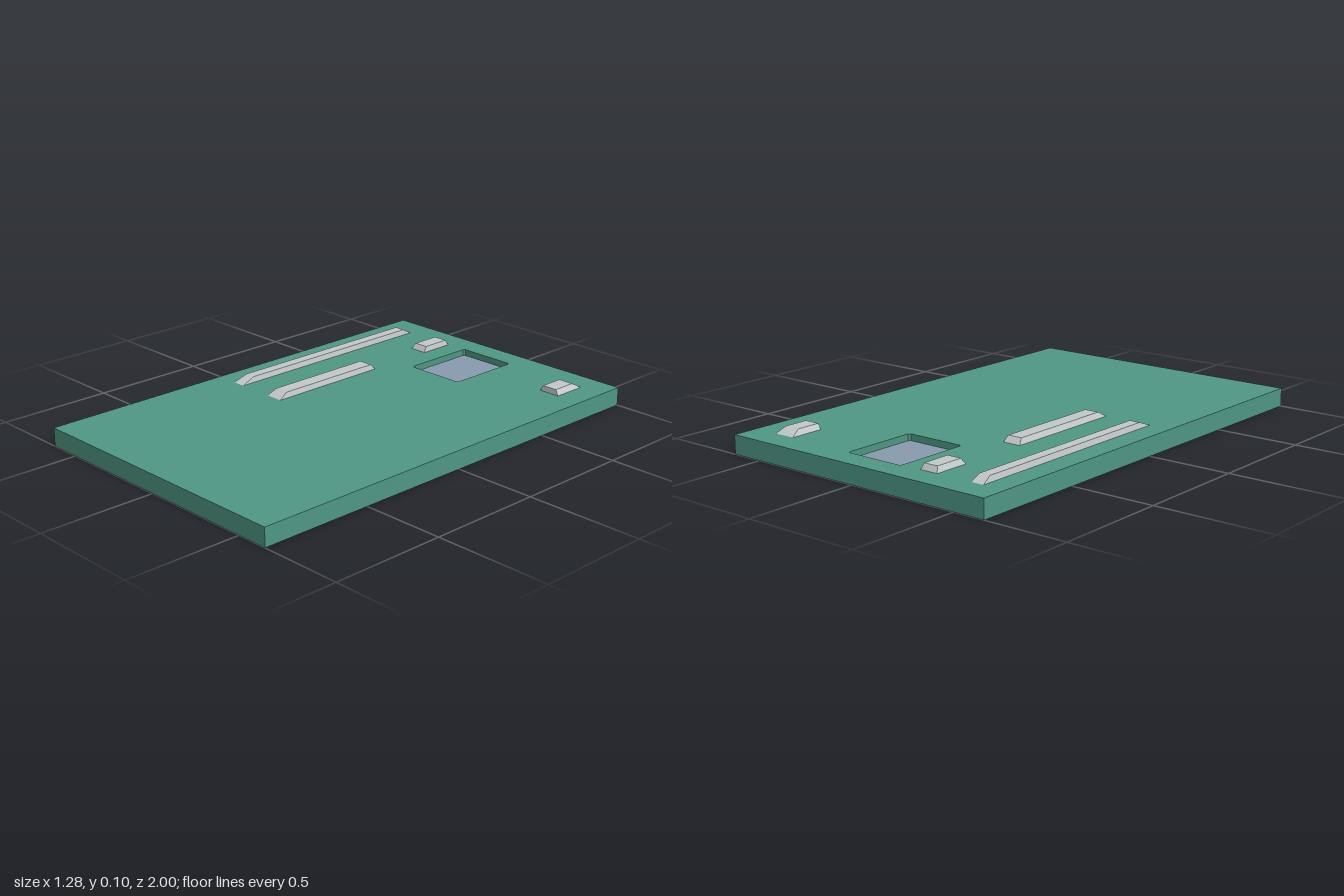
import * as THREE from 'three';

const TOP = 0.08, FLOOR = 0.05, PAD_TOP = 0.104;

const board = new THREE.MeshStandardMaterial({ color: 0x509884 });
board.name = 'boardGreen';
const metal = new THREE.MeshStandardMaterial({ color: 0xc4c9c9 });
metal.name = 'paleGrey';
const chip = new THREE.MeshStandardMaterial({ color: 0x8a9cb0 });
chip.name = 'chipBlueGrey';

function add(group, name, geometry, material) {
  const mesh = new THREE.Mesh(geometry, material);
  mesh.name = name;
  group.add(mesh);
  return mesh;
}

// Box whose upper corners are moved in to the given top rectangle
function bevelledBar([x0, x1, z0, z1], [tx0, tx1, tz0, tz1]) {
  const g = new THREE.BoxGeometry(1, 1, 1);
  const p = g.attributes.position;
  for (let i = 0; i < p.count; i++) {
    const up = p.getY(i) > 0, right = p.getX(i) > 0, front = p.getZ(i) > 0;
    p.setXYZ(i,
      up ? (right ? tx1 : tx0) : (right ? x1 : x0),
      up ? PAD_TOP : TOP - 0.002,
      up ? (front ? tz1 : tz0) : (front ? z1 : z0));
  }
  g.computeVertexNormals();
  return g;
}

export function createModel() {
  const model = new THREE.Group();
  model.name = 'circuitBoard';

  // Slab below the recess
  const base = add(model, 'boardBase', new THREE.BoxGeometry(1.28, FLOOR, 2), board);
  base.position.y = FLOOR / 2;

  // Upper layer with the recess cut through (shape y becomes -z)
  const outline = new THREE.Shape([[-0.64, -1], [0.64, -1], [0.64, 1], [-0.64, 1]]
    .map(([x, y]) => new THREE.Vector2(x, y)));
  const x0 = -0.15, x1 = 0.12, y0 = 0.557, y1 = 0.895, r = 0.008;
  const hole = new THREE.Path();
  hole.moveTo(x0 + r, y0);
  hole.lineTo(x0, y0 + r);
  hole.lineTo(x0, y1 - r);
  hole.lineTo(x0 + r, y1);
  hole.lineTo(x1 - r, y1);
  hole.lineTo(x1, y1 - r);
  hole.lineTo(x1, y0 + r);
  hole.lineTo(x1 - r, y0);
  hole.closePath();
  outline.holes.push(hole);
  const layer = new THREE.ExtrudeGeometry(outline, { depth: TOP - FLOOR, bevelEnabled: false });
  layer.rotateX(-Math.PI / 2);
  add(model, 'boardTop', layer, board).position.y = FLOOR;

  // Chip face on the recess floor
  const face = add(model, 'chipFace', new THREE.BoxGeometry(x1 - x0, 0.004, y1 - y0), chip);
  face.position.set((x0 + x1) / 2, FLOOR, -(y0 + y1) / 2);

  // Raised connectors: footprint and top rectangle as x0, x1, z0, z1
  const bars = {
    longSlot: [[-0.542, -0.483, -0.89, 0.145], [-0.536, -0.488, -0.845, 0.075]],
    shortSlot: [[-0.325, -0.243, -0.42, 0.145], [-0.314, -0.249, -0.395, 0.1]],
    smallConnector: [[-0.325, -0.243, -0.89, -0.73], [-0.314, -0.249, -0.875, -0.747]],
    sideConnector: [[0.43, 0.528, -0.89, -0.735], [0.443, 0.513, -0.845, -0.737]],
  };
  for (const [name, [foot, top]] of Object.entries(bars)) {
    add(model, name, bevelledBar(foot, top), metal);
  }
  return model;
}
